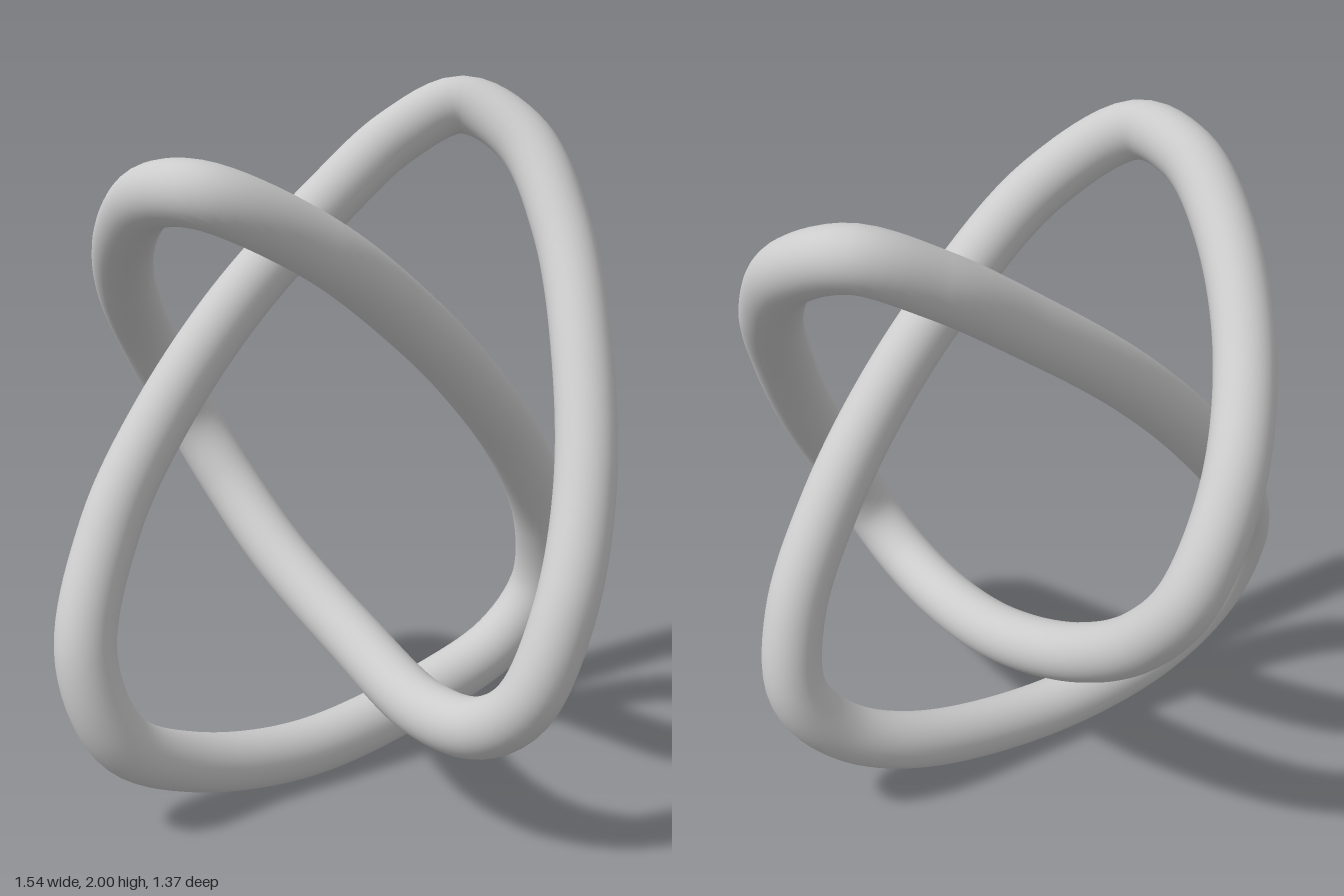
import * as THREE from 'three';

// Centreline of the closed trefoil loop, listed in order along the tube
const PATH = [
  [0.23, 1.915, -0.6], [0.42, 1.83, -0.52], [0.56, 1.61, -0.31], [0.65, 1.3, -0.01],
  [0.682, 1.0, 0.24], [0.65, 0.72, 0.43], [0.56, 0.48, 0.5], [0.44, 0.37, 0.44],
  [0.26, 0.335, 0.28], [0, 0.42, 0], [-0.28, 0.58, -0.25], [-0.48, 0.77, -0.405],
  [-0.6, 0.95, -0.44], [-0.68, 1.22, -0.29], [-0.66, 1.48, 0], [-0.55, 1.7, 0.3],
  [-0.42, 1.815, 0.49], [-0.25, 1.835, 0.6], [0, 1.69, 0.47], [0.22, 1.43, 0.21],
  [0.36, 1.2, 0], [0.46, 0.96, -0.21], [0.525, 0.69, -0.38], [0.515, 0.45, -0.44],
  [0.41, 0.28, -0.38], [0.22, 0.165, -0.24], [-0.12, 0.09, 0.1], [-0.4, 0.155, 0.37],
  [-0.56, 0.29, 0.53], [-0.645, 0.54, 0.54], [-0.62, 0.85, 0.36], [-0.53, 1.1, 0.16],
  [-0.36, 1.39, -0.09], [-0.13, 1.66, -0.35], [0.05, 1.83, -0.52],
];

export function createModel() {
  const group = new THREE.Group();
  group.name = 'knot';

  // Round tube swept along the closed curve
  const curve = new THREE.CatmullRomCurve3(PATH.map((p) => new THREE.Vector3(...p)), true);
  const tube = new THREE.Mesh(
    new THREE.TubeGeometry(curve, 320, 0.086, 32, true),
    new THREE.MeshStandardMaterial({ color: 0xcccccc }),
  );
  tube.name = 'knotTube';
  group.add(tube);
  return group;
}
